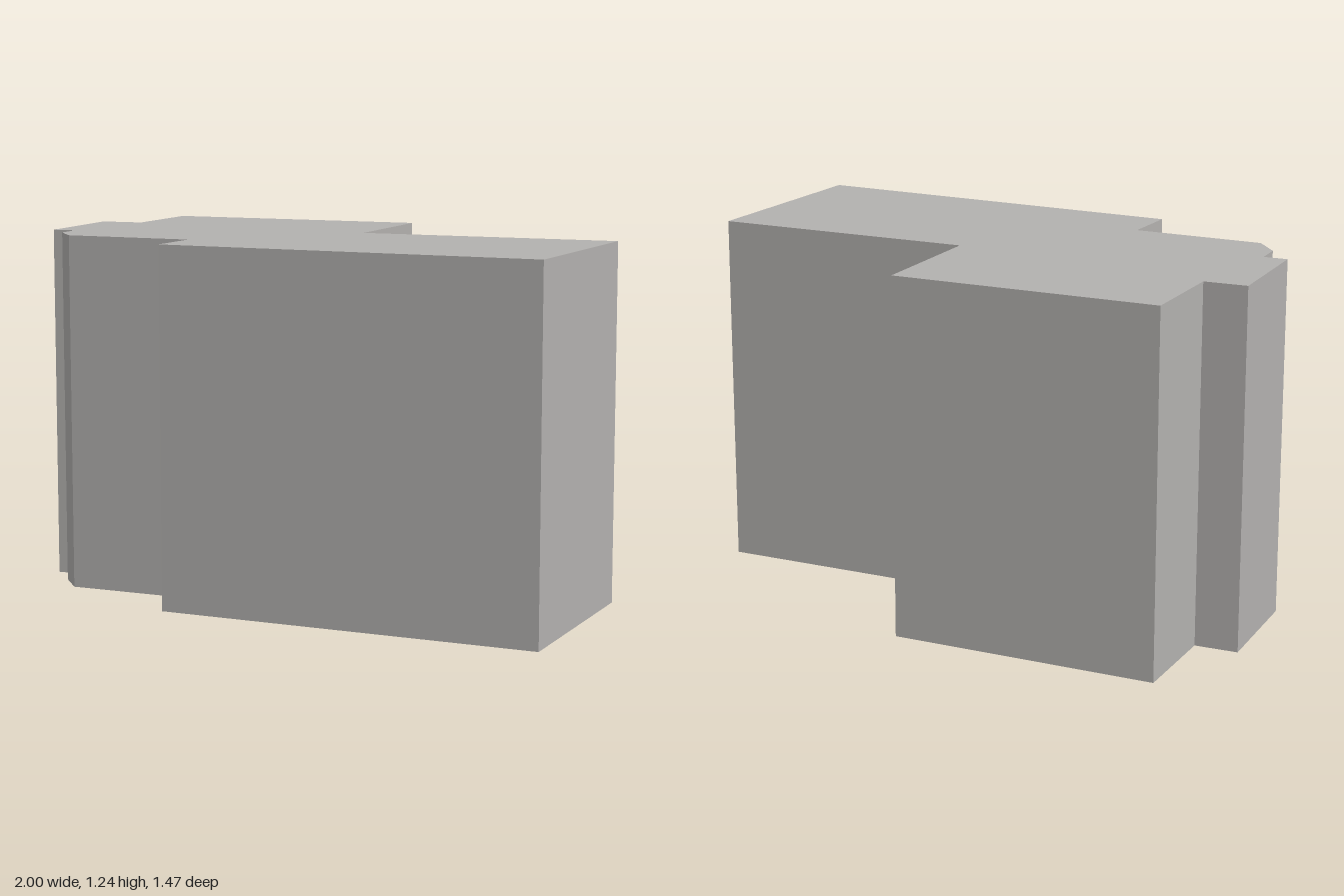
import * as THREE from 'three';

const HEIGHT = 1.235;

// Floor plan corners as [x, z]
const PLAN = [
  [-0.763, -0.738], [0.157, -0.613], [0.093, -0.125], [0.998, -0.003],
  [0.872, 0.735], [-0.447, 0.505], [-0.411, 0.299], [-0.863, 0.228],
  [-0.927, 0.122], [-0.918, 0.022], [-1, 0.012], [-0.96, -0.4], [-0.811, -0.384],
];

export function createModel() {
  const group = new THREE.Group();
  group.name = 'building';

  const wallGrey = new THREE.MeshStandardMaterial({ color: 0xb3b1af });
  wallGrey.name = 'wall grey';

  // Flat-roofed block: the plan raised straight up
  const shape = new THREE.Shape(PLAN.map(([x, z]) => new THREE.Vector2(x, -z)));
  const geometry = new THREE.ExtrudeGeometry(shape, { depth: HEIGHT, bevelEnabled: false });
  geometry.rotateX(-Math.PI / 2);

  const block = new THREE.Mesh(geometry, wallGrey);
  block.name = 'buildingBlock';
  group.add(block);
  return group;
}
